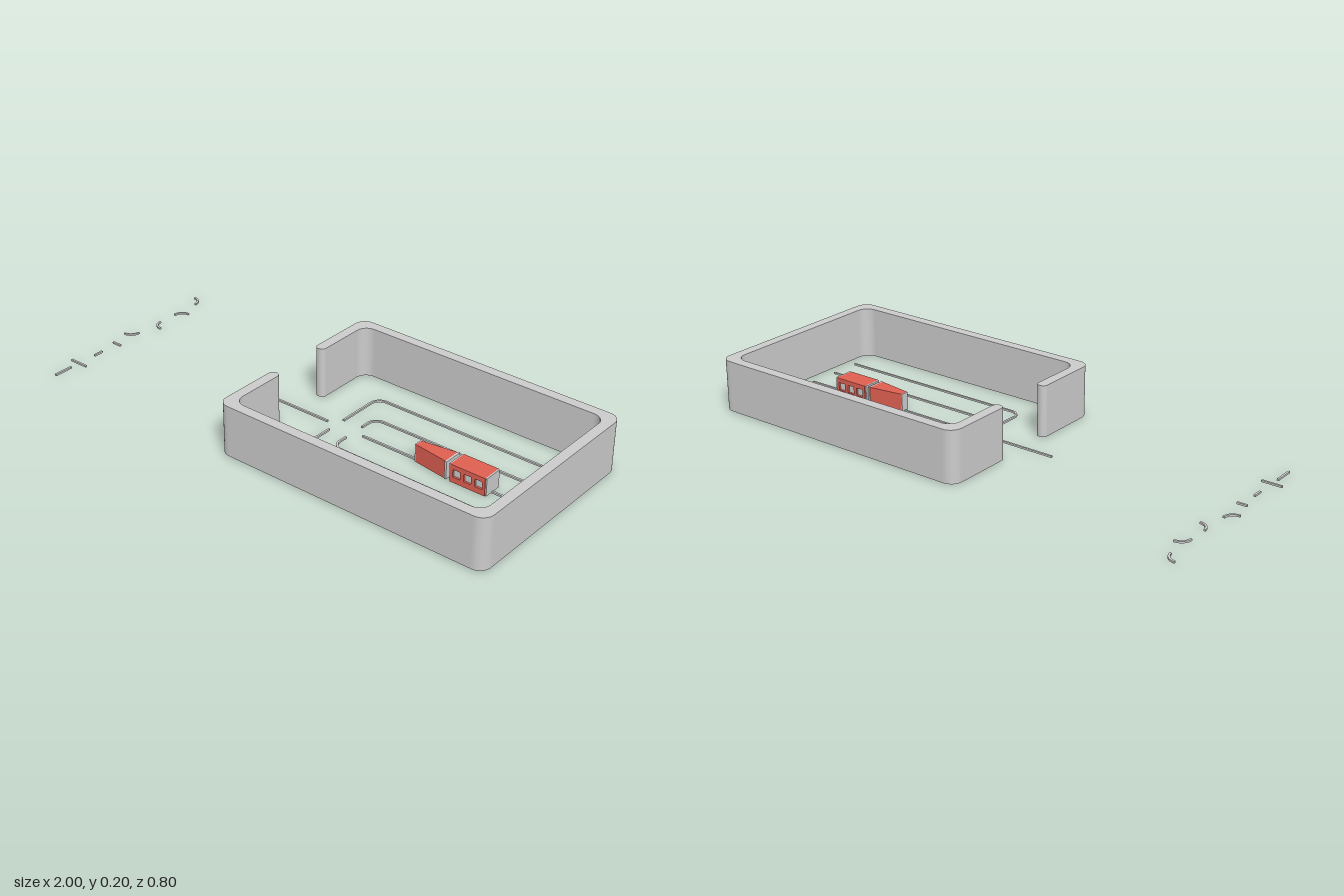
import * as THREE from 'three';

const grey = new THREE.MeshStandardMaterial({ color: 0xcccccc });
const red = new THREE.MeshStandardMaterial({ color: 0xe06052 });

function add(parent, name, geometry, material = grey) {
  const mesh = new THREE.Mesh(geometry, material);
  mesh.name = name;
  parent.add(mesh);
  return mesh;
}

function box(parent, name, size, pos, material = grey) {
  const mesh = add(parent, name, new THREE.BoxGeometry(...size), material);
  mesh.position.set(...pos);
  return mesh;
}

// Path through [x, z, radius] corners, each right angle rounded by its radius
function roundedPath(path, corners, closed) {
  const n = corners.length;
  const v = corners.map(([x, z]) => new THREE.Vector2(x, -z));
  const toward = (a, b, d) => b.clone().sub(a).setLength(d).add(a);
  corners.forEach(([, , r = 0], i) => {
    const p = v[i], prev = v[(i + n - 1) % n], next = v[(i + 1) % n];
    const round = r > 0 && (closed || (i > 0 && i < n - 1));
    const a = round ? toward(p, prev, r) : p;
    if (i === 0) path.moveTo(a.x, a.y);
    else path.lineTo(a.x, a.y);
    if (round) {
      const b = toward(p, next, r), c = a.clone().lerp(p, 0.5523), d = b.clone().lerp(p, 0.5523);
      path.bezierCurveTo(c.x, c.y, d.x, d.y, b.x, b.y);
    }
  });
  if (closed) path.closePath();
  return path;
}

// Plan outline raised from height y0 to y1
function raise(shape, y0, y1) {
  return new THREE.ExtrudeGeometry(shape, { depth: y1 - y0, bevelEnabled: false, curveSegments: 8 })
    .rotateX(-Math.PI / 2).translate(0, y0, 0);
}

// Thin flat strip following a plan path
function strip(parent, name, path) {
  const w = 0.004, pts = path.getPoints(8);
  const side = (s) => pts.map((p, i) => {
    const t = pts[Math.min(i + 1, pts.length - 1)].clone().sub(pts[Math.max(i - 1, 0)]).normalize();
    return new THREE.Vector2(p.x - t.y * w * s, p.y + t.x * w * s);
  });
  add(parent, name, raise(new THREE.Shape([...side(1), ...side(-1).reverse()]), 0, 0.007));
}

const line = (...corners) => roundedPath(new THREE.Path(), corners, false);

function quarterArc(x, z, start) {
  const path = new THREE.Path();
  path.absarc(x, -z, 0.04, start, start + Math.PI / 2, false);
  return path;
}

// Enclosing wall with an opening on the -x side
function buildWall(parent) {
  const L = -0.12, R = 0.995, Z = 0.4, t = 0.04, g = 0.115;
  const outline = roundedPath(new THREE.Shape(), [
    [L, g, 0.019], [L, Z, 0.045], [R, Z, 0.045], [R, -Z, 0.045], [L, -Z, 0.045], [L, -g, 0.019],
    [L + t, -g, 0.019], [L + t, -Z + t, 0.045], [R - t, -Z + t, 0.045],
    [R - t, Z - t, 0.045], [L + t, Z - t, 0.045], [L + t, g, 0.019],
  ], true);
  add(parent, 'wall', raise(outline, 0.003, 0.203));
}

function buildTracks(parent) {
  const tracks = new THREE.Group();
  tracks.name = 'tracks';
  for (const s of [1, -1]) {
    strip(tracks, 'outerTrack', line([0.08, s * 0.04], [0.08, s * 0.24, 0.04], [0.915, s * 0.24]));
    strip(tracks, 'innerTrack', line([0.16, s * 0.045], [0.16, s * 0.12, 0.04], [0.915, s * 0.12]));
  }
  strip(tracks, 'centreTrack', line([0.2, 0], [0.915, 0]));
  strip(tracks, 'entryTrack', line([-0.24, 0], [0.04, 0]));
  parent.add(tracks);
}

// Loose track pieces lined up beside the yard
function buildLoosePieces(parent) {
  const pieces = new THREE.Group();
  pieces.name = 'loosePieces';
  strip(pieces, 'curvedPiece', quarterArc(-1, -0.36, 0));
  strip(pieces, 'curvedPiece', quarterArc(-0.92, -0.24, Math.PI / 2));
  strip(pieces, 'curvedPiece', quarterArc(-0.92, -0.16, Math.PI));
  strip(pieces, 'curvedPiece', quarterArc(-1, -0.04, Math.PI * 1.5));
  strip(pieces, 'shortPiece', line([-0.98, 0.08], [-0.94, 0.08]));
  strip(pieces, 'shortPiece', line([-0.96, 0.16], [-0.96, 0.2]));
  strip(pieces, 'longPiece', line([-1, 0.28], [-0.92, 0.28]));
  strip(pieces, 'longPiece', line([-0.96, 0.32], [-0.96, 0.4]));
  parent.add(pieces);
}

// Tapered nose and a windowed carriage
function buildTrain(parent) {
  const train = new THREE.Group();
  train.name = 'train';
  const y0 = 0.004, y1 = 0.074, yc = (y0 + y1) / 2, h = y1 - y0;

  const nose = roundedPath(new THREE.Shape(), [
    [0.445, 0.016], [0.583, 0.036], [0.583, -0.036], [0.445, -0.016],
  ], true);
  add(train, 'nose', raise(nose, y0, y1), red);
  box(train, 'noseTip', [0.004, h, 0.032], [0.443, yc, 0]);
  box(train, 'noseBackFrame', [0.008, h, 0.078], [0.587, yc, 0]);
  box(train, 'coupling', [0.02, 0.015, 0.015], [0.598, 0.02, 0]);

  const x0 = 0.607, x1 = 0.75, xc = (x0 + x1) / 2, len = x1 - x0;
  box(train, 'carriageCore', [len, h - 0.01, 0.06], [xc, yc, 0]);
  box(train, 'carriageRoof', [len, 0.006, 0.068], [xc, y1 - 0.003, 0], red);
  box(train, 'carriageFloor', [len, 0.006, 0.068], [xc, y0 + 0.003, 0], red);
  for (const x of [x0 - 0.002, x1 + 0.002]) box(train, 'carriageEndFrame', [0.006, h, 0.074], [x, yc, 0]);

  // Side panels with three window openings
  const panel = new THREE.Shape([[x0, y0], [x1, y0], [x1, y1], [x0, y1]].map((p) => new THREE.Vector2(...p)));
  for (let i = -1; i <= 1; i++) {
    const x = xc + i * 0.045, w = 0.015;
    panel.holes.push(new THREE.Path([[x - w, 0.026], [x - w, 0.056], [x + w, 0.056], [x + w, 0.026]]
      .map((p) => new THREE.Vector2(...p))));
  }
  for (const z of [0.032, -0.04]) {
    const side = new THREE.ExtrudeGeometry(panel, { depth: 0.008, bevelEnabled: false });
    add(train, 'carriageSide', side.translate(0, 0, z), red);
  }
  parent.add(train);
}

export function createModel() {
  const model = new THREE.Group();
  model.name = 'trainYard';
  buildWall(model);
  buildTracks(model);
  buildLoosePieces(model);
  buildTrain(model);
  return model;
}
